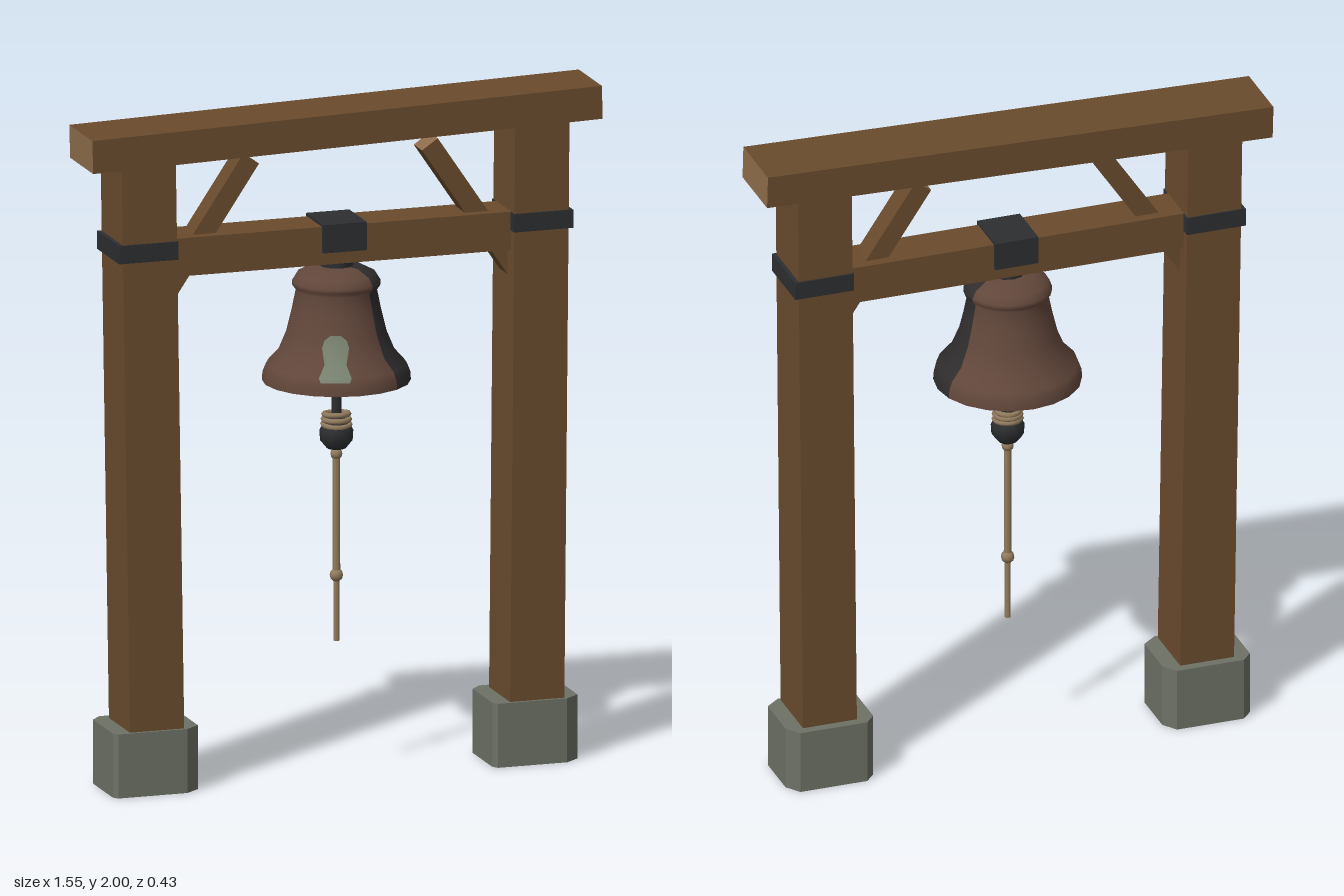
import * as THREE from 'three';

const mat = (name, color) => Object.assign(new THREE.MeshStandardMaterial({ color }), { name });

export function createModel() {
  const wood = mat('wood', 0x6a4b2d), endGrain = mat('end grain', 0x8e6d4a);
  const stone = mat('stone', 0x6d7165), iron = mat('iron', 0x2c2e30);
  const bronze = mat('bronze', 0x62473b), tarnish = mat('tarnish', 0x2f2d2d);
  const verdigris = mat('verdigris', 0x78826f), rope = mat('rope', 0x927c5e);
  const model = new THREE.Group();
  model.name = 'bellFrame';

  const add = (name, geometry, material, x = 0, y = 0, z = 0) => {
    const mesh = new THREE.Mesh(geometry, material);
    mesh.name = name;
    mesh.position.set(x, y, z);
    model.add(mesh);
    return mesh;
  };
  // Square timber running between two points in the frame's plane
  const timber = (name, x0, y0, x1, y1, width, depth, z = 0) => {
    const length = Math.hypot(x1 - x0, y1 - y0);
    const mesh = add(name, new THREE.BoxGeometry(width, length, depth),
      [wood, wood, endGrain, endGrain, wood, wood], (x0 + x1) / 2, (y0 + y1) / 2, z);
    mesh.rotation.z = -Math.atan2(x1 - x0, y1 - y0);
    return mesh;
  };

  // Stone feet: blocks with unevenly cut corners
  const outline = [[-0.121, 0.105], [0.089, 0.105], [0.132, 0.07], [0.132, -0.08],
    [0.102, -0.123], [-0.103, -0.123], [-0.133, -0.09], [-0.133, 0.09]];
  const footShape = new THREE.Shape(outline.map(([x, z]) => new THREE.Vector2(x, -z)));
  for (const [side, x] of [['left', 0.578], ['right', -0.577]]) {
    const foot = new THREE.ExtrudeGeometry(footShape, { depth: 0.19, bevelEnabled: false });
    add(side + 'StoneFoot', foot.rotateX(-Math.PI / 2), stone, x);
  }

  // Leaning posts, tilted top beam and cross beam
  timber('rightPost', -0.577, 0.17, -0.603, 1.89, 0.165, 0.19);
  timber('leftPost', 0.579, 0.17, 0.595, 1.92, 0.165, 0.19);
  timber('topBeam', -0.775, 1.908, 0.775, 1.95, 0.098, 0.208, -0.003);
  timber('crossBeam', -0.56, 1.582, 0.56, 1.582, 0.113, 0.136);

  // Diagonal braces
  for (const s of [-1, 1]) {
    timber(s > 0 ? 'leftBrace' : 'rightBrace', s * 0.55, 1.436, s * 0.272, 1.85, 0.058, 0.075);
  }

  // Iron straps and the clamp over the cross beam
  add('rightStrap', new THREE.BoxGeometry(0.18, 0.054, 0.2), iron, -0.604, 1.611);
  add('leftStrap', new THREE.BoxGeometry(0.18, 0.054, 0.2), iron, 0.597, 1.611);
  add('clamp', new THREE.BoxGeometry(0.132, 0.084, 0.158), iron, 0, 1.604);
  add('bellHanger', new THREE.CylinderGeometry(0.048, 0.048, 0.05, 10), iron, 0, 1.515);

  // Bell: outer wall split by colour, and an inner wall
  const outer = [[0.215, 1.165], [0.213, 1.19], [0.203, 1.215], [0.17, 1.25], [0.145, 1.31],
    [0.128, 1.38], [0.117, 1.435], [0.128, 1.448], [0.128, 1.46], [0.115, 1.482],
    [0.075, 1.503], [0, 1.508]];
  const inner = [[0, 1.47], [0.085, 1.46], [0.105, 1.42], [0.125, 1.32], [0.15, 1.25],
    [0.185, 1.2], [0.195, 1.165], [0.215, 1.165]];
  const points = (list) => list.map(([r, y]) => new THREE.Vector2(r, y));
  const step = Math.PI / 10;
  add('bellWall', new THREE.LatheGeometry(points(outer), 16, 6 * step, 16 * step), bronze);
  add('bellTarnish', new THREE.LatheGeometry(points(outer), 4, 2 * step, 4 * step), tarnish);
  add('bellInside', new THREE.LatheGeometry(points(inner), 20), bronze);

  // Verdigris patch laid on the wall; rows are radius, height, half angle
  const rows = [[0.209, 1.205, 0.2], [0.203, 1.217, 0.23], [0.172, 1.25, 0.18],
    [0.152, 1.295, 0.25], [0.144, 1.315, 0.22], [0.14, 1.33, 0.1]];
  const pos = [], index = [], cols = 6;
  rows.forEach(([r, y, half], i) => {
    for (let j = 0; j <= cols; j++) {
      const a = -0.34 + half * (2 * j / cols - 1);
      pos.push((r + 0.005) * Math.sin(a), y, (r + 0.005) * Math.cos(a));
      if (i && j) {
        const d = i * (cols + 1) + j, b = d - cols - 1;
        index.push(b - 1, b, d, b - 1, d, d - 1);
      }
    }
  });
  const patch = new THREE.BufferGeometry();
  patch.setAttribute('position', new THREE.Float32BufferAttribute(pos, 3));
  patch.setIndex(index);
  patch.computeVertexNormals();
  add('verdigrisPatch', patch, verdigris);

  // Clapper
  add('clapperRod', new THREE.CylinderGeometry(0.015, 0.015, 0.46, 8), iron, 0, 1.25);
  const ball = [[0, 0.955], [0.028, 0.962], [0.047, 0.985], [0.049, 1.015], [0.035, 1.045], [0, 1.06]];
  add('clapperBall', new THREE.LatheGeometry(points(ball), 10), iron);

  // Rope: wraps round the clapper, then the hanging pull with its knots
  [[1.063, 0.036], [1.048, 0.038], [1.033, 0.039]].forEach(([y, r], i) => {
    const wrap = add('ropeWrap', new THREE.TorusGeometry(r, 0.008, 6, 16), rope, 0, y);
    wrap.rotation.x = Math.PI / 2 + (i - 1) * 0.08;
  });
  add('upperRope', new THREE.CylinderGeometry(0.011, 0.012, 0.39, 8), rope, 0, 0.78);
  add('lowerRope', new THREE.CylinderGeometry(0.009, 0.009, 0.2, 8), rope, 0, 0.49);
  add('ropeKnot', new THREE.SphereGeometry(0.02, 10, 6), rope, 0, 0.585);
  add('topKnot', new THREE.SphereGeometry(0.018, 10, 6), rope, 0, 0.945);
  return model;
}
